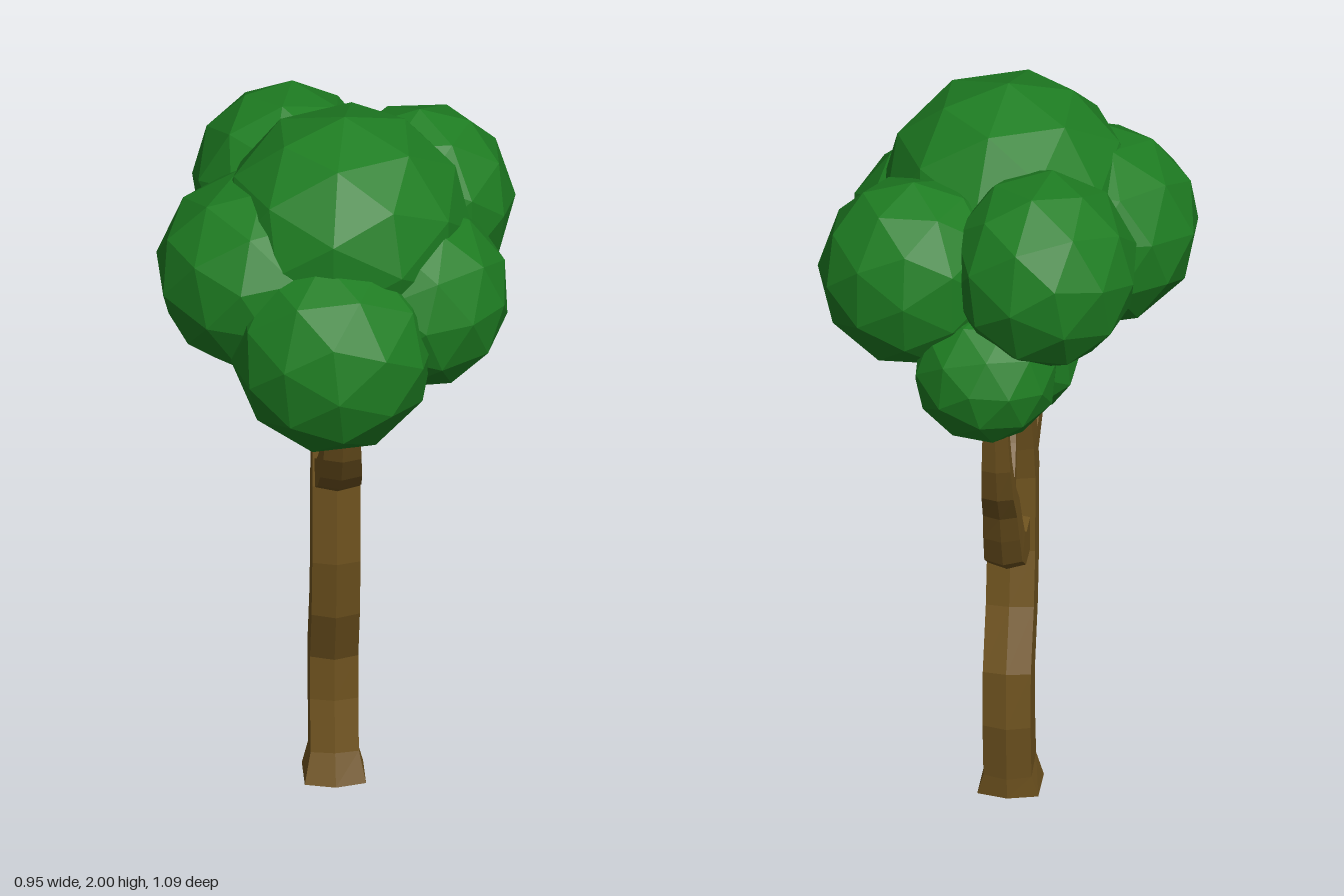
import * as THREE from 'three';

const bark = new THREE.MeshStandardMaterial({ color: 0x6f531f, flatShading: true });
const leaf = new THREE.MeshStandardMaterial({ color: 0x1e7d22, flatShading: true });

// Flattened six-sided section: [across x, across the limb in the yz plane]
const SECTION = [[1, 0.75], [0, 1], [-1, 0.75], [-1, -0.75], [0, -1], [1, -0.75]];

// Six-sided limb swept along a path of [z, y, half width in x, half depth]
function limb(name, path, flatStart = false) {
  const rings = path.map(([z, y, rx, rd], i) => {
    const p = path[Math.max(i - 1, 0)], q = path[Math.min(i + 1, path.length - 1)];
    const t = new THREE.Vector2(q[0] - p[0], q[1] - p[1]).normalize();
    if (flatStart && i === 0) t.set(0, 1);
    return SECTION.map(([a, b]) => [a * rx - 0.005, y - t.x * b * rd, z + t.y * b * rd]);
  });
  const pos = [];
  const tri = (...corners) => corners.forEach((c) => pos.push(...c));
  const n = SECTION.length;
  for (let i = 0; i < rings.length - 1; i++) {
    const lo = rings[i], hi = rings[i + 1];
    for (let j = 0; j < n; j++) {
      const k = (j + 1) % n;
      tri(lo[j], hi[j], lo[k]);
      tri(lo[k], hi[j], hi[k]);
    }
  }
  // End caps
  const first = rings[0], last = rings[rings.length - 1];
  for (let j = 1; j < n - 1; j++) {
    tri(first[0], first[j], first[j + 1]);
    tri(last[0], last[j + 1], last[j]);
  }
  const geo = new THREE.BufferGeometry();
  geo.setAttribute('position', new THREE.Float32BufferAttribute(pos, 3));
  geo.computeVertexNormals();
  const mesh = new THREE.Mesh(geo, bark);
  mesh.name = name;
  return mesh;
}

// Faceted ball of leaves: centre, half sizes, turn of the facets, optional tilt
function clump(name, centre, size, turn, tilt = 0) {
  const geo = new THREE.IcosahedronGeometry(1, 1);
  geo.applyMatrix4(new THREE.Matrix4().makeRotationFromEuler(new THREE.Euler(...turn)));
  geo.scale(...size);
  const mesh = new THREE.Mesh(geo, leaf);
  mesh.name = name;
  mesh.position.set(...centre);
  mesh.rotation.z = tilt;
  return mesh;
}

export function createModel() {
  const tree = new THREE.Group();
  tree.name = 'tree';

  // Curved trunk with a flared foot
  tree.add(limb('trunk', [
    [-0.08, 0, 0.08, 0.084], [-0.099, 0.07, 0.063, 0.07], [-0.122, 0.22, 0.063, 0.067],
    [-0.119, 0.36, 0.063, 0.065], [-0.052, 0.52, 0.063, 0.063], [-0.022, 0.68, 0.063, 0.061],
    [-0.02, 0.9, 0.063, 0.059], [-0.037, 1.0, 0.061, 0.057], [-0.075, 1.14, 0.055, 0.053],
    [-0.095, 1.24, 0.045, 0.045],
  ], true));

  // Branches
  tree.add(limb('frontBranch', [
    [-0.02, 0.92, 0.055, 0.05], [0.04, 0.95, 0.057, 0.05], [0.13, 1.0, 0.057, 0.047],
    [0.195, 1.055, 0.055, 0.045], [0.245, 1.125, 0.05, 0.04], [0.275, 1.195, 0.046, 0.035],
    [0.3, 1.27, 0.035, 0.03],
  ]));
  tree.add(limb('backBranch', [
    [-0.03, 0.737, 0.05, 0.063], [-0.155, 0.738, 0.05, 0.06], [-0.213, 0.772, 0.05, 0.054],
    [-0.253, 0.845, 0.048, 0.046], [-0.293, 0.93, 0.045, 0.04], [-0.355, 1.008, 0.042, 0.031],
    [-0.39, 1.1, 0.038, 0.026], [-0.414, 1.22, 0.033, 0.021], [-0.42, 1.28, 0.028, 0.018],
  ]));
  tree.add(limb('backTwig', [
    [-0.3, 0.94, 0.034, 0.032], [-0.238, 1.0, 0.032, 0.028], [-0.185, 1.06, 0.028, 0.022],
    [-0.14, 1.15, 0.022, 0.014],
  ]));

  // Crown
  const crown = new THREE.Group();
  crown.name = 'crown';
  crown.add(
    clump('topClump', [0.015, 1.68, 0.045], [0.335, 0.32, 0.335], [0, 0.4, 0]),
    clump('frontClump', [-0.03, 1.442, 0.28], [0.268, 0.276, 0.27], [0.1, 0, 0.1]),
    clump('rightClump', [0.203, 1.52, 0.132], [0.24, 0.25, 0.248], [0.5, 0.2, 0.3]),
    clump('backRightClump', [0.23, 1.595, -0.258], [0.25, 0.26, 0.228], [0, 0, 0]),
    clump('backLeftClump', [-0.115, 1.638, -0.288], [0.25, 0.265, 0.265], [0.8, 0.4, 0.2]),
    clump('leftClump', [-0.212, 1.58, 0.085], [0.272, 0.268, 0.28], [0.3, 1.3, 0.5]),
    clump('lowerClump', [0.02, 1.262, -0.055], [0.21, 0.168, 0.17], [0.1, 0.6, 0.9], 0.15),
    clump('lowerBackClump', [0.028, 1.362, -0.355], [0.193, 0.188, 0.192], [0.6, 0.1, 0.4]),
  );
  tree.add(crown);
  return tree;
}
